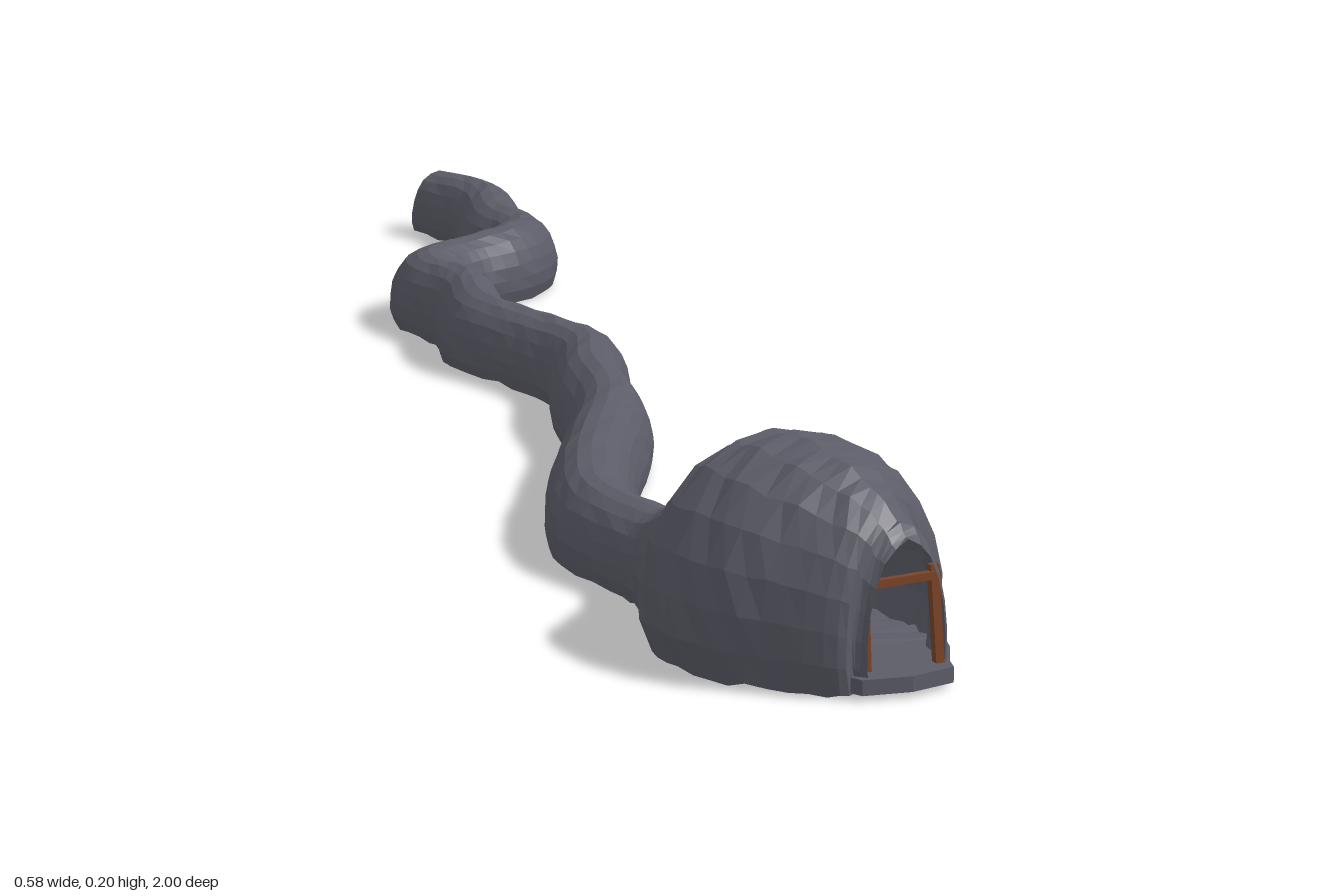
import * as THREE from 'three';

const FLOOR = 0.032;
const rock = new THREE.MeshStandardMaterial({ color: 0x5c5c68, flatShading: true, side: THREE.DoubleSide });
const wood = new THREE.MeshStandardMaterial({ color: 0x7d4427, flatShading: true });

// Stations from the cave mouth to the far end: x, z, half width, top height
const stations = [
  [-0.127, 0.978, 0.042, 0.163], [-0.13, 0.962, 0.054, 0.178], [-0.142, 0.935, 0.08, 0.202],
  [-0.154, 0.885, 0.118, 0.22], [-0.16, 0.82, 0.135, 0.225], [-0.16, 0.765, 0.128, 0.213],
  [-0.17, 0.715, 0.098, 0.178], [-0.184, 0.665, 0.06, 0.135], [-0.194, 0.61, 0.043, 0.11],
  [-0.208, 0.51, 0.042, 0.113], [-0.17, 0.4, 0.045, 0.115], [-0.115, 0.29, 0.044, 0.113],
  [-0.045, 0.16, 0.043, 0.115], [-0.01, 0.03, 0.042, 0.116], [0.035, -0.09, 0.042, 0.112],
  [0.025, -0.185, 0.042, 0.109], [0.0, -0.29, 0.042, 0.113], [0.025, -0.4, 0.04, 0.116],
  [0.02, -0.49, 0.042, 0.113], [0.04, -0.545, 0.044, 0.112], [0.09, -0.585, 0.042, 0.11],
  [0.16, -0.62, 0.042, 0.112], [0.208, -0.68, 0.043, 0.11], [0.215, -0.77, 0.043, 0.108],
  [0.248, -0.9, 0.041, 0.108], [0.23, -0.996, 0.04, 0.106],
];

// Arch profile: across (of half width), up (of height)
const arch = [[0.92, 0], [1, 0.16], [1, 0.34], [0.93, 0.53], [0.79, 0.71], [0.58, 0.86], [0.31, 0.96], [0, 1]];
const ring = [
  ...arch,
  ...arch.slice(0, -1).reverse().map(([u, v]) => [-u, v]),
  [-0.45, 0.01], [0, 0], [0.45, 0.01],
];

// Repeatable rough offset in -1..1
function rough(i, j) {
  const s = Math.sin(i * 12.9898 + j * 78.233) * 43758.5453;
  return (s - Math.floor(s)) * 2 - 1;
}

// Sweep the arch along the winding path, open at both ends
function caveShell() {
  const path = new THREE.CatmullRomCurve3(stations.map(([x, z]) => new THREE.Vector3(x, 0, z)));
  const size = new THREE.CatmullRomCurve3(stations.map(([, , w, top]) => new THREE.Vector3(w, top, 0)));
  const rows = (stations.length - 1) * 4;
  const n = ring.length;
  const positions = [];
  const index = [];
  for (let i = 0; i <= rows; i++) {
    const t = i / rows;
    const p = path.getPoint(t);
    const d = path.getTangent(t);
    const s = size.getPoint(t);
    const height = s.y - FLOOR;
    ring.forEach(([u, v], j) => {
      const bump = 1 + 0.02 * rough(i, j) + 0.018 * rough(Math.floor(i / 3), 50);
      const across = u * s.x * bump;
      const y = FLOOR + v * height * (1 + 0.015 * rough(i, j + 30)) + (v < 0.02 ? 0.003 * rough(i, j) : 0);
      positions.push(p.x - d.z * across, y, Math.max(-1, p.z + d.x * across));
      if (i < rows) {
        const k = (j + 1) % n;
        const a = i * n + j, b = a + n, c = i * n + k, e = c + n;
        index.push(a, b, c, c, b, e);
      }
    });
  }
  const geometry = new THREE.BufferGeometry();
  geometry.setAttribute('position', new THREE.Float32BufferAttribute(positions, 3));
  geometry.setIndex(index);
  geometry.computeVertexNormals();
  return geometry;
}

// Rough stone sill spreading out in front of the mouth
function sillGeometry() {
  const outline = [[-0.225, -0.9], [-0.2, -0.95], [-0.187, -0.962], [-0.175, -0.99], [-0.13, -0.996],
    [-0.085, -0.985], [-0.078, -0.962], [-0.06, -0.93], [-0.05, -0.9]];
  const shape = new THREE.Shape(outline.map(([x, y]) => new THREE.Vector2(x, y)));
  const geometry = new THREE.ExtrudeGeometry(shape, { depth: 0.014, bevelEnabled: false });
  geometry.rotateX(-Math.PI / 2);
  return geometry;
}

// Square timber running between two points
function timber(name, from, to, thickness) {
  const a = new THREE.Vector3(...from), b = new THREE.Vector3(...to);
  const mesh = new THREE.Mesh(new THREE.BoxGeometry(thickness, a.distanceTo(b), thickness), wood);
  mesh.name = name;
  mesh.position.copy(a).add(b).multiplyScalar(0.5);
  mesh.quaternion.setFromUnitVectors(new THREE.Vector3(0, 1, 0), b.sub(a).normalize());
  return mesh;
}

export function createModel() {
  const model = new THREE.Group();
  model.name = 'caveTunnel';

  const shell = new THREE.Mesh(caveShell(), rock);
  shell.name = 'caveShell';
  model.add(shell);

  const sill = new THREE.Mesh(sillGeometry(), rock);
  sill.name = 'entranceSill';
  sill.position.y = 0.034;
  model.add(sill);

  // Timber door frame
  const frame = new THREE.Group();
  frame.name = 'doorFrame';
  frame.add(
    timber('rightPost', [-0.16, 0.045, 0.966], [-0.162, 0.13, 0.962], 0.008),
    timber('leftPost', [-0.09, 0.045, 0.966], [-0.095, 0.135, 0.962], 0.008),
    timber('lintel', [-0.166, 0.123, 0.964], [-0.09, 0.126, 0.964], 0.007),
  );
  model.add(frame);
  return model;
}
